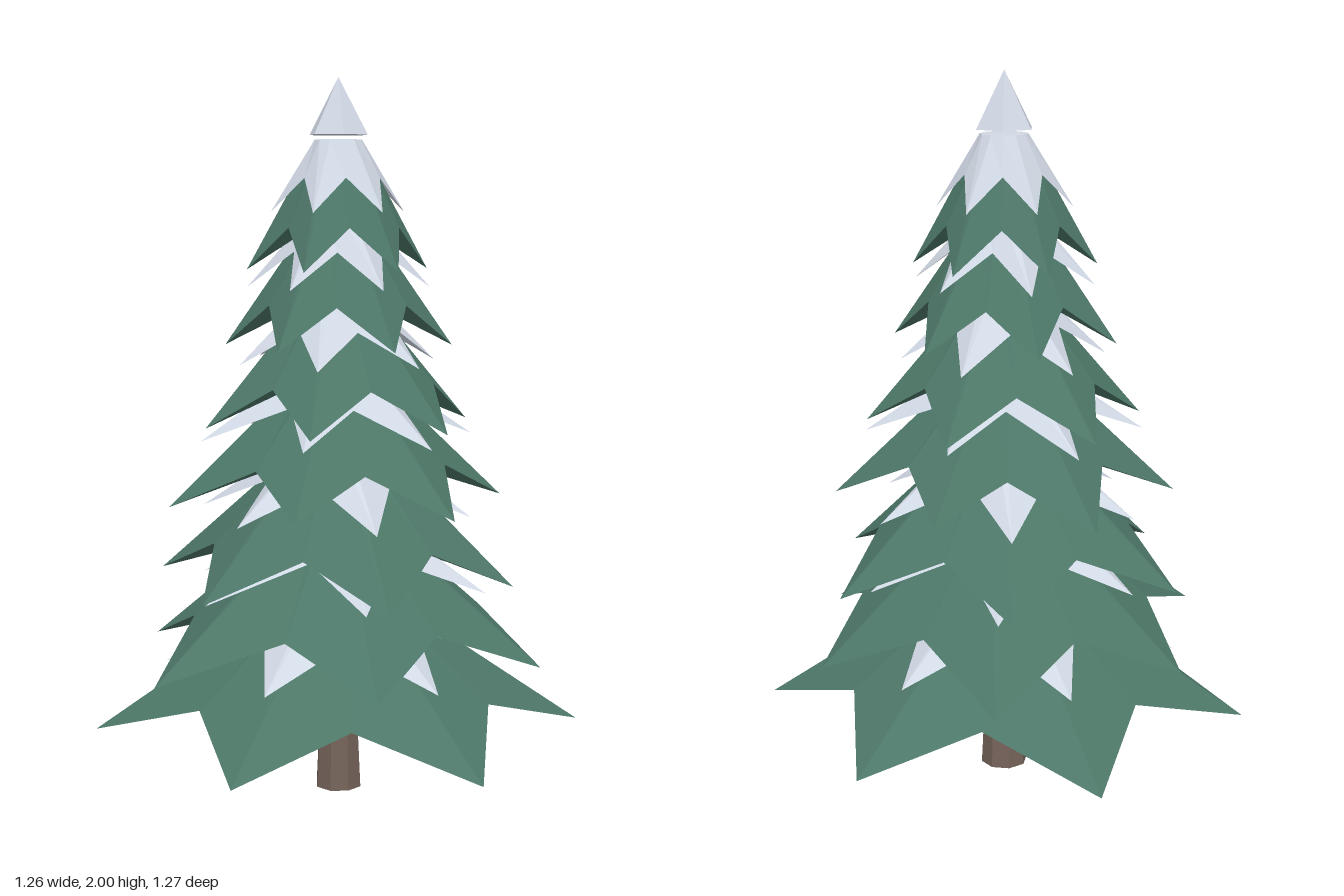
import * as THREE from 'three';

const RAD = Math.PI / 180;

// point at an angle measured from +x towards +z
const polar = (deg, r, y) => [r * Math.cos(deg * RAD), y, r * Math.sin(deg * RAD)];

// closed strips between 12-point rings, listed from top to bottom
function ringSurface(rings) {
  const pos = [], index = [];
  rings.forEach(ring => ring.forEach(p => pos.push(...p)));
  for (let k = 0; k < rings.length - 1; k++) {
    for (let i = 0; i < 12; i++) {
      const a = k * 12 + i, b = k * 12 + (i + 1) % 12, c = a + 12, d = b + 12;
      index.push(a, b, c, b, d, c);
    }
  }
  const geo = new THREE.BufferGeometry();
  geo.setAttribute('position', new THREE.Float32BufferAttribute(pos, 3));
  geo.setIndex(index);
  const flat = geo.toNonIndexed();
  flat.computeVertexNormals();
  return flat;
}

// ring alternating between tips (even) and valleys (odd)
const starRing = (offset, tip, valley) =>
  Array.from({ length: 12 }, (_, i) => {
    const [r, y] = i % 2 ? valley : tip(i >> 1);
    return polar(offset + i * 30, r, y);
  });

// tip height, tier height, angle of first tip, six tip radii, snow tip radius, snow tip height
const TIERS = [
  [0.18, 0.43, 35.5, [0.66, 0.635, 0.69, 0.66, 0.643, 0.69], 0.47, 0.375],
  [0.40, 0.43, 0, [0.59, 0.58, 0.63, 0.57, 0.62, 0.57], 0.435, 0.595],
  [0.61, 0.42, -5, [0.50, 0.52, 0.506, 0.53, 0.51, 0.53], 0.39, 0.80],
  [0.83, 0.40, 26.5, [0.447, 0.40, 0.48, 0.465, 0.39, 0.477], 0.36, 1.01],
  [1.05, 0.38, 21, [0.386, 0.38, 0.384, 0.405, 0.39, 0.384], 0.29, 1.22],
  [1.27, 0.37, 41, [0.31, 0.31, 0.315, 0.31, 0.31, 0.315], 0.25, 1.43],
  [1.48, 0.35, 30, [0.25, 0.265, 0.255, 0.25, 0.255, 0.25], 0.188, 1.635],
];

export function createModel() {
  const tree = new THREE.Group();
  tree.name = 'snowyFirTree';

  const std = (name, color, extra) => {
    const m = new THREE.MeshStandardMaterial({ color, ...extra });
    m.name = name;
    return m;
  };
  const green = std('needleGreen', 0x4d7768, { side: THREE.DoubleSide });
  const snow = std('snowWhite', 0xd0d8e4, { side: THREE.DoubleSide });
  const bark = std('barkBrown', 0x75635a);

  const add = (name, geo, mat) => {
    const mesh = new THREE.Mesh(geo, mat);
    mesh.name = name;
    tree.add(mesh);
    return mesh;
  };

  // tapered faceted trunk
  const trunk = new THREE.CylinderGeometry(0.045, 0.067, 0.45, 8).toNonIndexed();
  trunk.computeVertexNormals();
  add('trunk', trunk, bark).position.y = 0.225;

  TIERS.forEach(([y, height, offset, radii, snowR, snowY], n) => {
    const mean = radii.reduce((a, b) => a + b) / 6;
    const valleyR = mean * 0.69, valleyY = y + 0.115;
    const topR = 0.06, topY = y + height;
    const circle = (r, h) => starRing(offset, () => [r, h], [r, h]);

    // star-shaped branch skirt with a shallow hollow underside
    const rim = starRing(offset, i => [radii[i], y], [valleyR, valleyY]);
    add('branchTier' + (n + 1),
      ringSurface([circle(0.001, topY), circle(topR, topY), rim, circle(0.001, y + 0.16)]), green);

    // snow shell: tips overhang the branch ridges, valleys lie on the needles
    const t = 0.45;
    const snowRim = starRing(offset,
      i => [snowR * radii[i] / mean, snowY],
      [topR + (valleyR - topR) * t + 0.008, topY + (valleyY - topY) * t + 0.004]);
    add('snowTier' + (n + 1),
      ringSurface([circle(0.001, topY + 0.004), circle(topR + 0.006, topY + 0.002), snowRim]), snow);
  });

  // pointed snow cap
  const cap = new THREE.ConeGeometry(0.085, 0.155, 6).toNonIndexed();
  cap.rotateY(Math.PI / 6);
  cap.computeVertexNormals();
  add('snowCap', cap, snow).position.y = 1.9225;

  return tree;
}
